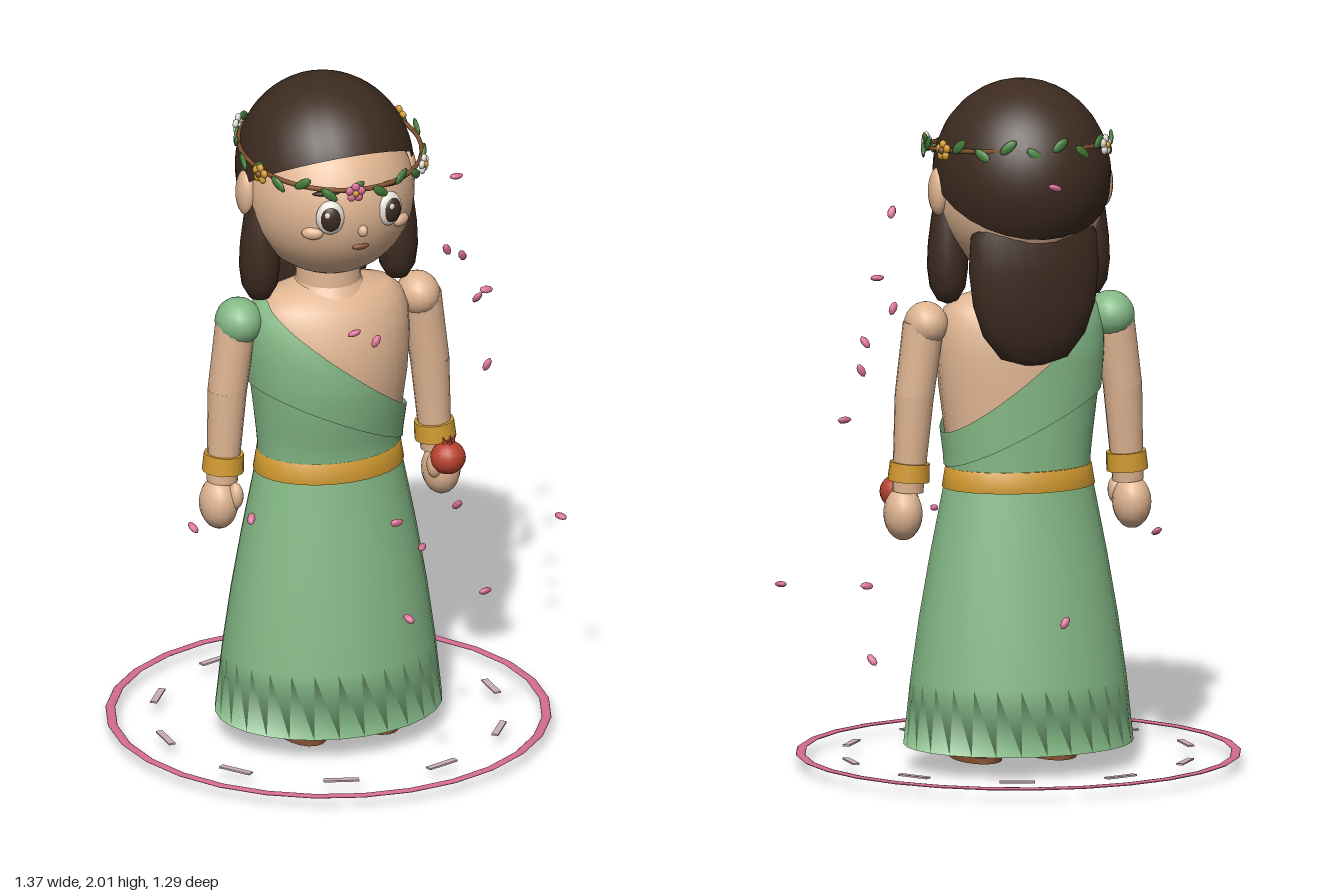
import * as THREE from 'three';

const mat = (name, color, side = THREE.FrontSide) => {
  const m = new THREE.MeshStandardMaterial({ color, side });
  m.name = name;
  return m;
};

// Closed loops of points, listed bottom to top, joined into a smooth skin
function loft(fn, rows, n = 28) {
  const pos = [], idx = [];
  for (let i = 0; i < rows; i++)
    for (let j = 0; j < n; j++) pos.push(...fn((j / n) * Math.PI * 2, i));
  for (let i = 0; i < rows - 1; i++)
    for (let j = 0; j < n; j++) {
      const k = (j + 1) % n, a = i * n + j, b = i * n + k, c = a + n, d = b + n;
      idx.push(a, b, c, b, d, c);
    }
  const g = new THREE.BufferGeometry();
  g.setAttribute('position', new THREE.Float32BufferAttribute(pos, 3));
  g.setIndex(idx);
  g.computeVertexNormals();
  return g;
}
// Half-round section with its own front and back depth; row = [y, halfWidth, front, back]
const around = (t, [y, w, f, b], o = 0) => {
  const c = Math.cos(t);
  return [(w + o) * Math.sin(t), y, ((c > 0 ? f : b) + o) * c];
};
const TORSO = [
  [0.8, 0.205, 0.15, 0.15], [0.9, 0.21, 0.16, 0.15], [1.0, 0.222, 0.182, 0.15], [1.1, 0.235, 0.197, 0.15],
  [1.2, 0.243, 0.193, 0.15], [1.28, 0.24, 0.17, 0.14], [1.33, 0.222, 0.14, 0.12], [1.36, 0.19, 0.11, 0.1], [1.385, 0.09, 0.07, 0.07],
];
function torsoRow(y) {
  let i = 0;
  while (i < TORSO.length - 2 && TORSO[i + 1][0] < y) i++;
  const a = TORSO[i], b = TORSO[i + 1], k = (y - a[0]) / (b[0] - a[0]);
  return a.map((v, j) => v + (b[j] - v) * k);
}

export function createModel() {
  const M = {
    skin: mat('skin', 0xe0b592),
    hair: mat('dark brown hair', 0x3d2b20, THREE.DoubleSide),
    dress: mat('green cloth', 0x84b986, THREE.DoubleSide),
    gold: mat('gold', 0xd39b30),
    leaf: mat('leaf green', 0x437c38, THREE.DoubleSide),
    brown: mat('brown leather', 0x85512f),
    pink: mat('petal pink', 0xd56c94),
    white: mat('white', 0xf1ece4),
    red: mat('fruit red', 0xb8422e),
    dash: mat('pale mauve', 0xc9adb8),
  };
  const model = new THREE.Group();
  const body = new THREE.Group();
  body.name = 'figure';
  body.position.x = -0.04;
  model.add(body);

  const add = (name, geo, m, p = [0, 0, 0], parent = body) => {
    const mesh = new THREE.Mesh(geo, m);
    mesh.name = name;
    mesh.position.set(...p);
    parent.add(mesh);
    return mesh;
  };
  const ball = (name, m, p, r, parent = body, seg = 16) => {
    const mesh = add(name, new THREE.SphereGeometry(1, seg, Math.ceil(seg * 0.7)), m, p, parent);
    mesh.scale.set(...r);
    return mesh;
  };
  const limb = (name, m, a, b, ra, rb) => {
    const A = new THREE.Vector3(...a), d = new THREE.Vector3(...b).sub(A);
    const mesh = add(name, new THREE.CylinderGeometry(rb, ra, d.length(), 16), m, A.clone().addScaledVector(d, 0.5).toArray());
    mesh.quaternion.setFromUnitVectors(new THREE.Vector3(0, 1, 0), d.normalize());
    return mesh;
  };

  // Skirt: the lining folds into the outer cloth at the hem
  const skirt = [[0.8, 0.2, 0.15, 0.15], [0.28, 0.29, 0.23, 0.23], [0.05, 0.338, 0.28, 0.28], [0.24, 0.318, 0.258, 0.258],
    [0.42, 0.293, 0.232, 0.232], [0.6, 0.262, 0.203, 0.203], [0.82, 0.219, 0.165, 0.165]];
  add('skirt', loft((t, i) => around(t, skirt[i]), skirt.length), M.dress);
  const belt = [[0.805, 0.215, 0.16, 0.16], [0.805, 0.226, 0.173, 0.173], [0.865, 0.216, 0.165, 0.165], [0.865, 0.2, 0.15, 0.15]];
  add('belt', loft((t, i) => around(t, belt[i]), 4), M.gold);

  // Torso and one-shouldered bodice with a diagonal overlapping fold
  add('torso', loft((t, i) => around(t, TORSO[i]), TORSO.length), M.skin);
  const foldTop = (s) => 1.145 - 0.195 * s + 0.02 * s * s;
  const foldLow = (s) => 0.98 - 0.11 * s;
  const wrap = (lo, hi, o) => loft((t, i) => {
    const s = Math.sin(t);
    return around(t, torsoRow(lo(s) + (hi(s) - lo(s)) * i / 10), o);
  }, 11, 40);
  add('bodice', wrap(() => 0.83, (s) => foldLow(s) + 0.03, 0.005), M.dress);
  add('diagonalFold', wrap(foldLow, foldTop, 0.013), M.dress);

  // Arms, bracelets and hands
  for (const s of [-1, 1]) {
    const side = s > 0 ? 'left' : 'right';
    ball(side + 'Shoulder', s < 0 ? M.dress : M.skin, [s * 0.28, 1.29, 0], s < 0 ? [0.069, 0.069, 0.077] : [0.063, 0.065, 0.072]);
    limb(side + 'UpperArm', M.skin, [s * 0.316, 1.08, 0], [s * 0.288, 1.29, 0], 0.057, 0.06);
    ball(side + 'Elbow', M.skin, [s * 0.316, 1.08, 0], [0.057, 0.057, 0.057]);
    limb(side + 'Forearm', M.skin, [s * 0.334, 0.8, 0.005], [s * 0.316, 1.08, 0], 0.045, 0.057);
    limb(side + 'Bracelet', M.gold, [s * 0.332, 0.832, 0.005], [s * 0.328, 0.886, 0.004], 0.061, 0.058);
    ball(side + 'Hand', M.skin, [s * 0.347, 0.735, 0.01], [0.056, 0.078, 0.066]);
    ball(side + 'Thumb', M.skin, [s * 0.31, 0.765, 0.05], [0.022, 0.04, 0.026]);

    // Legs and sandals
    limb(side + 'Leg', M.skin, [s * 0.113, 0.03, -0.01], [s * 0.1, 0.6, -0.01], 0.045, 0.06);
    ball(side + 'Foot', M.skin, [s * 0.113, 0.035, 0.05], [0.057, 0.035, 0.112]);
    add(side + 'Sole', new THREE.CylinderGeometry(1, 1, 1, 20), M.brown, [s * 0.113, 0.009, 0.055]).scale.set(0.07, 0.018, 0.127);
    const strap = add(side + 'ToeStrap', new THREE.TorusGeometry(0.054, 0.009, 6, 16), M.brown, [s * 0.113, 0.025, 0.085]);
    strap.scale.set(1.05, 0.65, 2);
    add(side + 'AnkleStrap', new THREE.TorusGeometry(0.047, 0.009, 6, 16), M.brown, [s * 0.113, 0.09, -0.01]).rotation.x = Math.PI / 2;
  }

  // Fruit with a small crown, held in the left hand
  ball('fruit', M.red, [0.345, 0.79, 0.07], [0.052, 0.05, 0.05]);
  for (let i = 0; i < 5; i++) {
    const a = i * Math.PI * 0.4;
    const tip = add('fruitCrown', new THREE.ConeGeometry(0.01, 0.032, 5), M.red, [0.345 + 0.016 * Math.sin(a), 0.846, 0.07 + 0.016 * Math.cos(a)]);
    tip.rotation.set(0.35 * Math.cos(a), 0, -0.35 * Math.sin(a));
  }

  // Neck, head and face
  add('neck', new THREE.CylinderGeometry(0.09, 0.098, 0.13, 20), M.skin, [0, 1.405, 0]);
  add('neckBase', new THREE.CylinderGeometry(0.095, 0.115, 0.03, 20), M.skin, [0, 1.372, 0]);
  ball('head', M.skin, [0, 1.667, 0], [0.247, 0.25, 0.265], body, 32);
  ball('nose', M.skin, [0, 1.63, 0.264], [0.015, 0.018, 0.017]);
  ball('mouth', M.brown, [0, 1.575, 0.245], [0.026, 0.01, 0.01]);
  for (const s of [-1, 1]) {
    ball('ear', M.skin, [s * 0.25, 1.68, -0.02], [0.028, 0.07, 0.043]);
    ball('cheek', M.skin, [s * 0.138, 1.625, 0.215], [0.032, 0.019, 0.016]).rotation.y = s * 0.55;
    const eye = new THREE.Group();
    eye.name = 'eye';
    eye.position.set(s * 0.092, 1.677, 0.24);
    eye.rotation.y = s * 0.3;
    body.add(eye);
    ball('eyeWhite', M.white, [0, 0, 0], [0.042, 0.052, 0.024], eye);
    ball('iris', M.hair, [0, 0, 0.012], [0.031, 0.039, 0.017], eye);
    ball('eyeHighlight', M.white, [-0.01, 0.016, 0.025], [0.009, 0.01, 0.005], eye, 10);
    const brow = ball('brow', M.hair, [s * 0.1, 1.752, 0.232], [0.042, 0.008, 0.012]);
    brow.rotation.set(0, s * 0.4, -s * 0.1);
  }

  // Hair: tilted cap, back fall and two side locks
  const cap = add('hairCap', new THREE.SphereGeometry(0.277, 28, 16, 0, Math.PI * 2, 0, 1.64), M.hair, [0, 1.722, -0.03]);
  cap.rotation.x = -0.54;
  cap.scale.x = 0.93;
  const fall = [[1.18, 0.03, 0.012, -0.15], [1.2, 0.1, 0.04, -0.15], [1.27, 0.155, 0.067, -0.15], [1.36, 0.185, 0.08, -0.15],
    [1.46, 0.197, 0.088, -0.148], [1.56, 0.19, 0.088, -0.145], [1.64, 0.15, 0.07, -0.14]];
  add('backHair', loft((t, i) => {
    const [y, w, d, z] = fall[i];
    return [w * Math.sin(t), y, z + d * Math.cos(t)];
  }, fall.length, 24), M.hair);
  const lock = [[0, 0], [0.03, 0.012], [0.052, 0.05], [0.06, 0.11], [0.057, 0.18], [0.047, 0.26], [0.03, 0.34], [0, 0.38]];
  for (const s of [-1, 1])
    add('sideLock', new THREE.LatheGeometry(lock.map((p) => new THREE.Vector2(...p)), 16), M.hair, [s * 0.215, 1.345, 0]);

  // Flower wreath, tilted down at the front
  const wreath = new THREE.Group();
  wreath.name = 'wreath';
  wreath.position.set(0, 1.803, 0.012);
  wreath.rotation.x = 0.09;
  body.add(wreath);
  const onRing = (a, k = 1) => [0.262 * k * Math.sin(a), 0, 0.289 * k * Math.cos(a)];
  const vine = add('vine', new THREE.TorusGeometry(1, 0.026, 6, 40), M.brown, [0, 0, 0], wreath);
  vine.rotation.x = Math.PI / 2;
  vine.scale.set(0.262, 0.289, 0.28);
  for (let i = 0; i < 22; i++) {
    const a = (i + 0.5) * Math.PI / 11, up = i % 2 ? 1 : -1;
    const p = onRing(a, 1.03);
    p[1] = up * 0.012;
    const holder = new THREE.Group();
    holder.position.set(...p);
    holder.rotation.y = a;
    wreath.add(holder);
    ball('leaf', M.leaf, [0, 0, 0], [0.03, 0.014, 0.007], holder, 8).rotation.z = up * 0.65;
  }
  for (const [deg, m] of [[-9, M.pink], [50, M.white], [111, M.gold], [-133, M.white], [-70, M.gold]]) {
    const a = deg * Math.PI / 180;
    const flower = new THREE.Group();
    flower.name = 'flower';
    flower.position.set(...onRing(a, 1.06));
    flower.rotation.y = a;
    wreath.add(flower);
    for (let i = 0; i < 5; i++) {
      const t = i * Math.PI * 0.4 + Math.PI / 2;
      ball('flowerPetal', m, [0.018 * Math.cos(t), 0.018 * Math.sin(t), 0], [0.013, 0.013, 0.009], flower, 8);
    }
    ball('flowerCentre', m === M.gold ? M.brown : M.gold, [0, 0, 0.006], [0.01, 0.01, 0.009], flower, 8);
  }

  // Ground ring with ten dashes
  const ring = add('groundRing', new THREE.TorusGeometry(0.632, 0.014, 8, 28), M.pink, [0, 0.019, 0]);
  ring.rotation.x = Math.PI / 2;
  ring.scale.z = 0.3;
  for (let i = 0; i < 10; i++) {
    const a = i * Math.PI / 5;
    add('groundDash', new THREE.BoxGeometry(0.02, 0.005, 0.103), M.dash, [0.508 * Math.cos(a), 0.018, 0.508 * Math.sin(a)]).rotation.y = -a;
  }

  // Drifting petals
  const petals = [[0.49, 1.49, -0.32], [0.375, 1.36, -0.11], [0.425, 1.245, 0], [0.61, 1.09, -0.385], [0.37, 1.125, 0.21],
    [-0.485, 0.89, 0.5], [-0.08, 0.86, 0.62], [0.085, 0.675, 0.41], [-0.04, 0.55, 0.615], [0.315, 0.47, 0.33],
    [0.665, 0.54, 0.05], [0.55, 0.395, -0.46], [-0.19, 1.45, 0.565], [-0.14, 1.435, 0.61], [0.225, 1.555, 0.375],
    [-0.015, 1.745, -0.43], [-0.015, 0.485, -0.525], [-0.45, 0.65, -0.03]];
  petals.forEach((p, i) => {
    ball('driftingPetal', M.pink, p, [0.021, 0.009, 0.012], model, 8).rotation.set(i * 1.3, i * 2.1, Math.sin(i) * 0.5);
  });
  return model;
}
